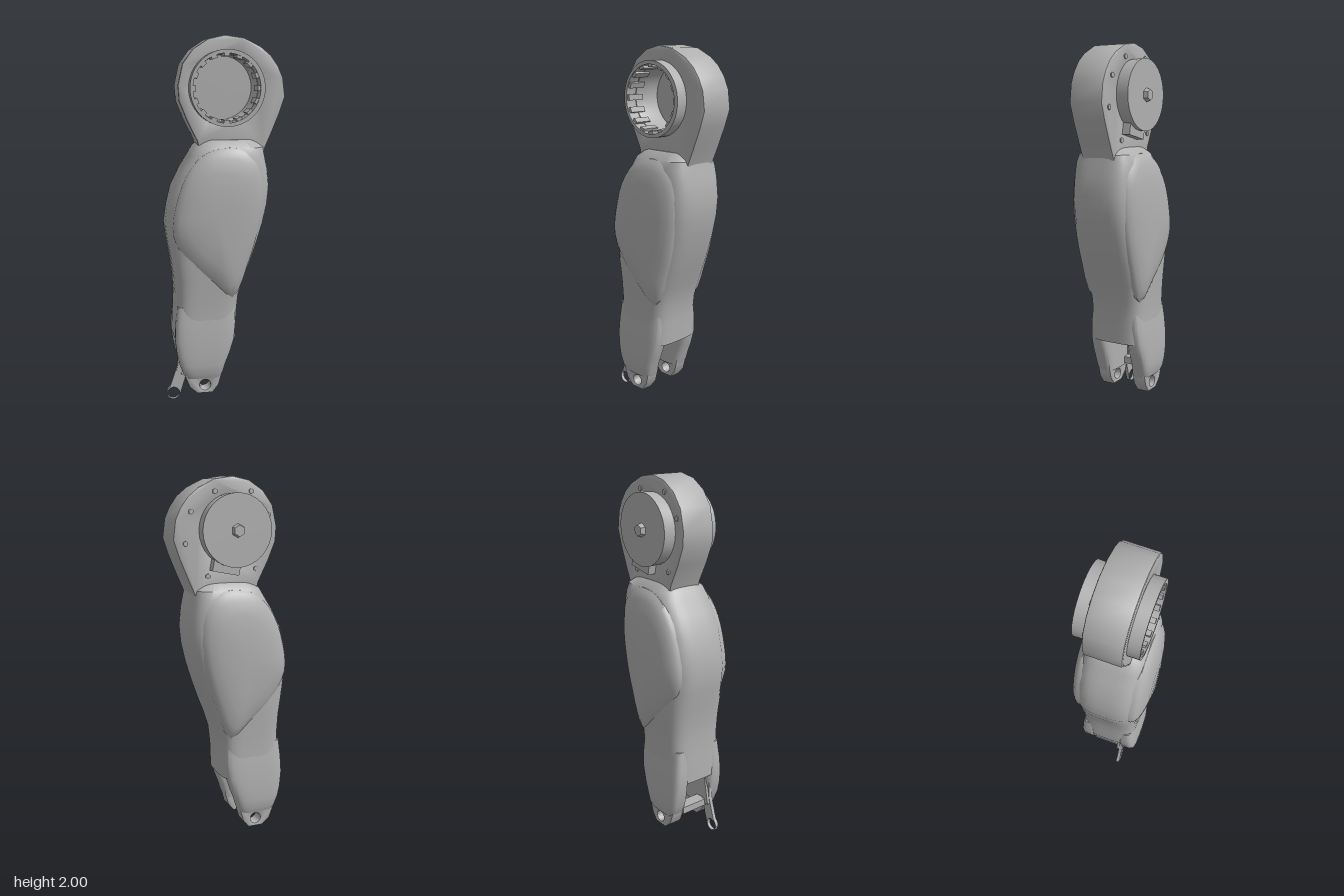
import * as THREE from 'three';
import { toCreasedNormals } from 'three/addons/utils/BufferGeometryUtils.js';

export function createModel() {
  const group = new THREE.Group();
  const grey = new THREE.MeshStandardMaterial({ color: 0xb0b0b0 });
  grey.name = 'metalGrey';
  const HUB_Y = 1.725;

  function add(name, geometry, crease = 0.6) {
    const mesh = new THREE.Mesh(toCreasedNormals(geometry, crease), grey);
    mesh.name = name;
    group.add(mesh);
  }

  // Closed skin over a stack of equal-length rings
  function loft(rings) {
    const n = rings[0].length, pos = [], idx = [];
    rings.forEach(r => r.forEach(p => pos.push(p.x, p.y, p.z)));
    for (let i = 0; i < rings.length - 1; i++) {
      for (let j = 0; j < n; j++) {
        const a = i * n + j, b = i * n + (j + 1) % n;
        idx.push(a, a + n, b, b, a + n, b + n);
      }
    }
    [0, rings.length - 1].forEach((row, end) => {
      const c = new THREE.Vector3();
      rings[row].forEach(p => c.addScaledVector(p, 1 / n));
      const centre = pos.length / 3;
      pos.push(c.x, c.y, c.z);
      for (let j = 0; j < n; j++) {
        const a = row * n + j, b = row * n + (j + 1) % n;
        idx.push(centre, end ? b : a, end ? a : b);
      }
    });
    const g = new THREE.BufferGeometry();
    g.setAttribute('position', new THREE.Float32BufferAttribute(pos, 3));
    g.setIndex(idx);
    return g;
  }

  // Rounded-box section at height y; power(c) sets how square each side is
  const bend = (v, power) => Math.sign(v) * Math.abs(v) ** power;
  function section(y, x0, x1, z0, z1, powerX, powerZ) {
    const pts = [];
    for (let j = 0; j < 40; j++) {
      const a = (j + 0.5) / 40 * Math.PI * 2, c = Math.cos(a), s = Math.sin(a);
      pts.push(new THREE.Vector3(
        (x0 + x1) / 2 + bend(c, powerX(c)) * (x1 - x0) / 2, y,
        (z0 + z1) / 2 + bend(s, powerZ) * (z1 - z0) / 2));
    }
    return pts;
  }

  // Outline in x/y extruded between two z values, with an inset bevel
  function slab(shape, z0, z1, bevel = 0) {
    const g = new THREE.ExtrudeGeometry(shape, {
      depth: z1 - z0 - 2 * bevel, curveSegments: 28, bevelEnabled: bevel > 0,
      bevelSize: bevel, bevelThickness: bevel, bevelOffset: -bevel, bevelSegments: 2,
    });
    return g.translate(0, 0, z0 + bevel);
  }

  function outline(points, hole) {
    const s = new THREE.Shape(points.map(p => new THREE.Vector2(...p)));
    s.holes.push(new THREE.Path().absarc(hole[0], hole[1], hole[2], 0, Math.PI * 2, true));
    return s;
  }

  // Round part on the hub axis
  function disc(name, rFront, rBack, z0, z1, x = 0, y = HUB_Y, sides = 32) {
    const g = new THREE.CylinderGeometry(rFront, rBack, z1 - z0, sides);
    g.rotateX(Math.PI / 2).translate(x, y, (z0 + z1) / 2);
    add(name, g);
  }

  // Hip housing: round head running down into the leg
  add('hipHousing', slab(outline([
    [-0.1, 1.25], [0.17, 1.25], [0.215, 1.4], [0.25, 1.48], [0.295, 1.59], [0.325, 1.68],
    [0.312, 1.78], [0.285, 1.84], [0.245, 1.895], [0.19, 1.94], [0.1, 1.983], [0, 1.997], [-0.09, 1.977],
    [-0.17, 1.925], [-0.225, 1.85], [-0.25, 1.74], [-0.245, 1.66], [-0.205, 1.56], [-0.15, 1.45],
  ], [0, HUB_Y, 0.172]), -0.105, 0.093, 0.01));

  // Front collar, open cup with teeth around its inner wall
  const collar = new THREE.Shape().absarc(0.004, HUB_Y, 0.198, 0, Math.PI * 2);
  collar.holes.push(new THREE.Path().absarc(0, HUB_Y, 0.178, 0, Math.PI * 2, true));
  add('hipCollar', slab(collar, 0.08, 0.157));
  for (let i = 0; i < 16; i++) {
    const a = i / 16 * Math.PI * 2;
    const g = new THREE.BoxGeometry(0.018, 0.03, 0.1);
    add('collarTooth', g.rotateZ(a).translate(Math.cos(a) * 0.172, HUB_Y + Math.sin(a) * 0.172, 0.1));
  }
  disc('cupFloor', 0.175, 0.175, -0.1, -0.065);

  // Rear motor drum with lower bracket, axle nut and bolts
  disc('motorDrum', 0.187, 0.19, -0.175, -0.1);
  add('motorBracket', new THREE.BoxGeometry(0.15, 0.07, 0.05).rotateZ(0.2).translate(0.05, 1.54, -0.125));
  disc('axleNut', 0.038, 0.03, -0.2, -0.17, 0, HUB_Y, 6);
  [[-0.2, 1.8], [-0.1, 1.92], [0.1, 1.92], [0.23, 1.82], [0.26, 1.66], [0.14, 1.49], [-0.13, 1.52]]
    .forEach(([x, y]) => disc('housingBolt', 0.014, 0.014, -0.112, -0.09, x, y, 6));

  // Leg core: [y, xMin, xMax, half depth], squarer along the flat sides
  add('legCore', loft([
    [0.355, -0.283, 0.062, 0.168], [0.42, -0.282, 0.065, 0.166], [0.5, -0.28, 0.068, 0.164],
    [0.6, -0.276, 0.078, 0.168], [0.7, -0.282, 0.11, 0.174], [0.8, -0.296, 0.148, 0.18],
    [0.9, -0.313, 0.182, 0.184], [1.0, -0.325, 0.212, 0.186], [1.1, -0.31, 0.235, 0.186],
    [1.2, -0.285, 0.245, 0.184], [1.3, -0.235, 0.235, 0.178], [1.37, -0.19, 0.22, 0.172],
    [1.415, -0.165, 0.212, 0.155], [1.455, -0.12, 0.17, 0.1],
  ].map(([y, x0, x1, d]) =>
    section(y, x0, x1, -d, d, c => (c > 0 || y < 0.85 ? 0.42 : 0.55), 0.55))));

  // Domed calf shields, front and back
  const shield = new THREE.CatmullRomCurve3([
    [-0.09, 1.4], [0.08, 1.41], [0.165, 1.34], [0.195, 1.2], [0.175, 1.0], [0.12, 0.8], [0.03, 0.6],
    [-0.08, 0.68], [-0.2, 0.79], [-0.288, 0.95], [-0.272, 1.12], [-0.2, 1.3],
  ].map(p => new THREE.Vector3(p[0], p[1], 0)), true).getPoints(40).slice(0, 40);
  [1, -1].forEach(side => {
    const edge = side > 0 ? shield : [...shield].reverse();
    const rings = [[1, 0.12], [1, 0.156], [0.95, 0.173], [0.85, 0.19], [0.65, 0.204], [0.4, 0.213], [0.15, 0.216]]
      .map(([t, z]) => edge.map(p => new THREE.Vector3(-0.06 + (p.x + 0.06) * t, 1.05 + (p.y - 1.05) * t, z * side)));
    add(side > 0 ? 'frontCalfShield' : 'backCalfShield', loft(rings), 0.7);
  });

  // Ankle fork: rounded prongs merging into the core, each with a drilled foot
  const foot = outline([
    [-0.165, 0.05], [-0.08, 0.05], [-0.045, 0.095], [-0.025, 0.17], [-0.03, 0.22],
    [-0.23, 0.22], [-0.24, 0.17], [-0.21, 0.09],
  ], [-0.122, 0.1, 0.029]);
  [1, -1].forEach(side => {
    const label = side > 0 ? 'front' : 'back';
    add(label + 'AnkleProng', loft([
      [0.142, -0.226, -0.032, 0.165], [0.17, -0.243, -0.02, 0.176], [0.22, -0.262, -0.006, 0.18],
      [0.28, -0.275, 0.018, 0.18], [0.36, -0.284, 0.043, 0.176], [0.45, -0.28, 0.052, 0.168], [0.55, -0.27, 0.05, 0.155],
    ].map(([y, x0, x1, z]) =>
      section(y, x0, x1, Math.min(0.066 * side, z * side), Math.max(0.066 * side, z * side), () => 0.5, 0.5))));
    add(label + 'AnkleFoot', slab(foot, side > 0 ? 0.076 : -0.158, side > 0 ? 0.158 : -0.076, 0.01));
  });
  add('ankleCrossbar', new THREE.BoxGeometry(0.07, 0.04, 0.2).translate(-0.215, 0.17, 0.01));

  // Lever ending in a thin ring
  add('ankleLever', slab(outline([
    [-0.312, 0.08], [-0.328, 0.062], [-0.334, 0.04], [-0.325, 0.015], [-0.295, 0], [-0.265, 0.012],
    [-0.254, 0.04], [-0.235, 0.1], [-0.205, 0.2], [-0.2, 0.36], [-0.26, 0.36], [-0.272, 0.2],
  ], [-0.294, 0.039, 0.034]), 0.08, 0.1));
  add('leverRoot', new THREE.BoxGeometry(0.045, 0.2, 0.04).rotateZ(-0.2).translate(-0.235, 0.26, 0.085));
  return group;
}
